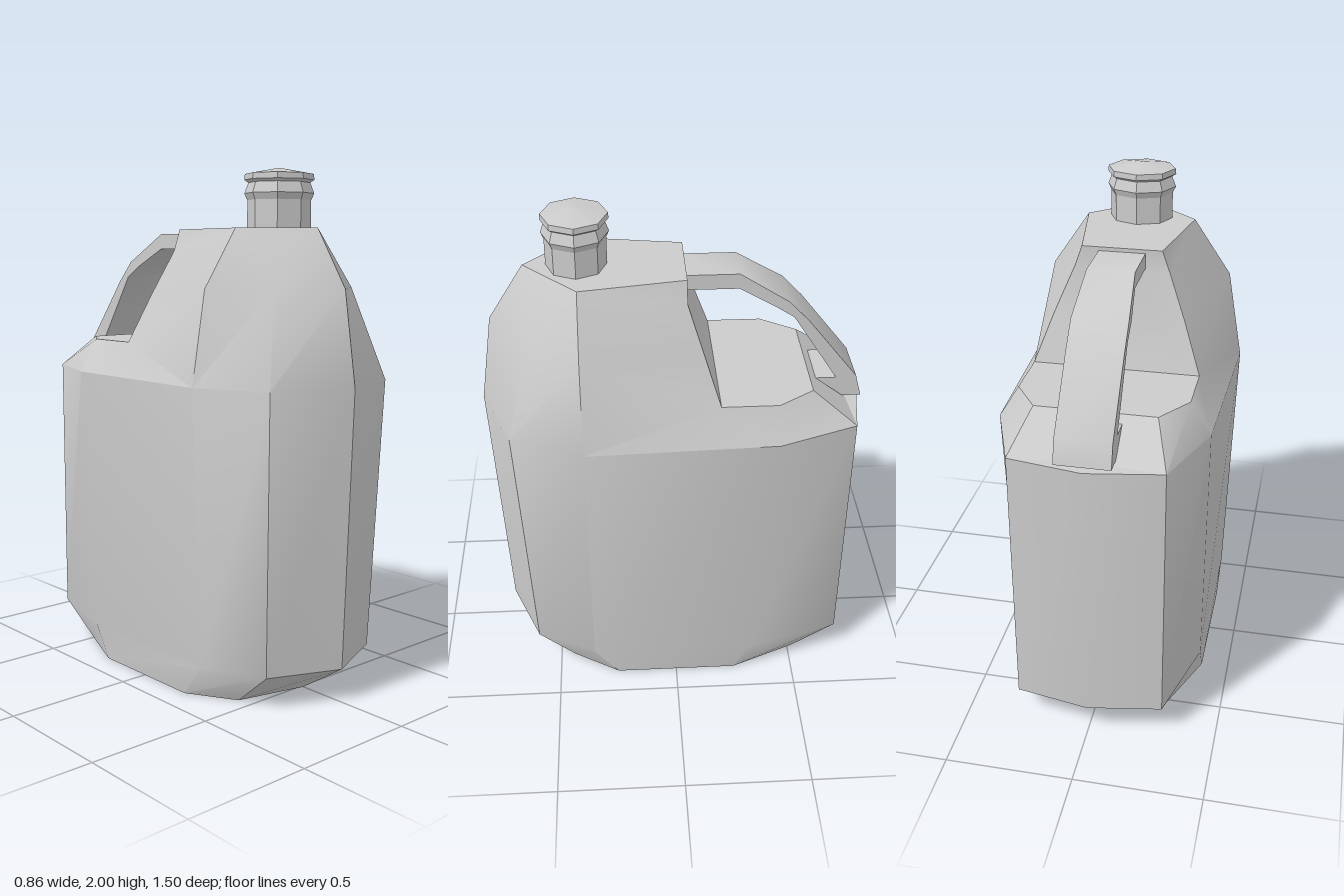
import * as THREE from 'three';
import { toCreasedNormals } from 'three/addons/utils/BufferGeometryUtils.js';

const material = new THREE.MeshStandardMaterial({ color: 0xcccccc });

function addMesh(group, geometry, name, crease = 0.55) {
  const mesh = new THREE.Mesh(toCreasedNormals(geometry, crease), material);
  mesh.name = name;
  group.add(mesh);
  return mesh;
}

// Body: faces of the left half, each mirrored to the right
function bodyGeometry() {
  const pos = [];
  const face = (...pts) => {
    const mirrored = pts.map(([x, y, z]) => [-x, y, z]).reverse();
    for (const p of [pts, mirrored]) {
      for (let i = 1; i < p.length - 1; i++) pos.push(...p[0], ...p[i], ...p[i + 1]);
    }
  };
  // Half rings from the front ridge round to the back ridge
  const ring = (y, xz) => xz.map(([x, z]) => [x, y, z]);
  const base = ring(0, [[0, 0.51], [0.28, 0.44], [0.39, 0.25], [0.39, -0.25], [0.28, -0.52], [0, -0.55]]);
  const low = ring(0.13, [[0, 0.71], [0.28, 0.59], [0.395, 0.35], [0.39, -0.33], [0.29, -0.7], [0, -0.75]]);
  const waist = ring(1.2, [[0, 0.75], [0.31, 0.63], [0.43, 0.35], [0.405, -0.39], [0.29, -0.7], [0, -0.75]]);
  for (const [a, b] of [[base, low], [low, waist]]) {
    for (let i = 0; i < 5; i++) face(a[i], a[i + 1], b[i + 1], b[i]);
  }
  face(...[...base].reverse());

  // Shoulder, sloping in to the flat top
  const [r0, r1, r2, r3, r4, r5] = waist;
  const [m0, mc, m1] = ring(1.555, [[0, 0.695], [0.205, 0.54], [0.37, 0.35]]);
  const top = ring(1.775, [[0, 0.555], [0.22, 0.35], [0.155, -0.05], [0, -0.05]]);
  const [t0, t1, t2, t3] = top;
  face(r0, r1, mc, m0);
  face(r1, r2, m1, mc);
  face(m0, mc, t0);
  face(mc, t1, t0);
  face(mc, m1, t1);
  face(...top);

  // Handle recess: wall, floor and the sides around them
  const w1 = [0.185, 1.69, -0.05], w2 = [0.255, 1.52, -0.107];
  const floor = ring(1.33, [[0, -0.17], [0.325, -0.17], [0.325, -0.39], [0.23, -0.53], [0, -0.53]]);
  const [f0, f1, f2, f3, f4] = floor;
  const wallMid = [0, 1.69, -0.05], dip = [0, 1.205, -0.68];
  face(t3, t2, w1, wallMid);
  face(f0, wallMid, w1, w2, f1);
  face(...floor);
  face(r2, r3, f1);
  face(r2, f1, m1);
  face(f1, w2, m1);
  face(m1, w2, w1);
  face(m1, w1, t1);
  face(w1, t2, t1);
  face(r3, f2, f1);
  face(r3, r4, f3, f2);
  face(r4, dip, f3);
  face(r4, r5, dip);
  face(dip, f4, f3);

  const geometry = new THREE.BufferGeometry();
  geometry.setAttribute('position', new THREE.Float32BufferAttribute(pos, 3));
  return geometry;
}

// Handle: side profile (z, y), slightly wider towards the back
function handleGeometry() {
  const profile = [
    [-0.03, 1.76], [-0.25, 1.76], [-0.44, 1.645], [-0.52, 1.56], [-0.72, 1.31], [-0.745, 1.22],
    [-0.67, 1.22], [-0.56, 1.305], [-0.64, 1.305], [-0.46, 1.58], [-0.39, 1.625], [-0.25, 1.7], [-0.03, 1.7],
  ];
  const shape = new THREE.Shape(profile.map(([z, y]) => new THREE.Vector2(-z, y)));
  const geometry = new THREE.ExtrudeGeometry(shape, { depth: 2, bevelEnabled: false });
  geometry.translate(0, 0, -1).rotateY(Math.PI / 2);
  const p = geometry.attributes.position;
  for (let i = 0; i < p.count; i++) {
    const t = THREE.MathUtils.clamp((-p.getZ(i) - 0.26) / 0.14, 0, 1);
    p.setX(i, p.getX(i) * (0.09 + 0.015 * t));
  }
  return geometry;
}

// Eight-sided turned part, slightly narrower front to back
function turned(points) {
  const geometry = new THREE.LatheGeometry(points.map(([r, y]) => new THREE.Vector2(r, y)), 8);
  return geometry.scale(1, 1, 0.91).translate(0, 0, 0.353);
}

export function createModel() {
  const group = new THREE.Group();
  group.name = 'jug';
  addMesh(group, bodyGeometry(), 'body');
  addMesh(group, handleGeometry(), 'handle');
  addMesh(group, turned([[0.126, 1.77], [0.126, 1.88], [0.138, 1.905], [0.122, 1.945]]), 'neck', 0.3);
  addMesh(group, turned([[0.122, 1.945], [0.138, 1.955], [0.136, 1.977], [0, 2]]), 'cap', 0.3);
  return group;
}
